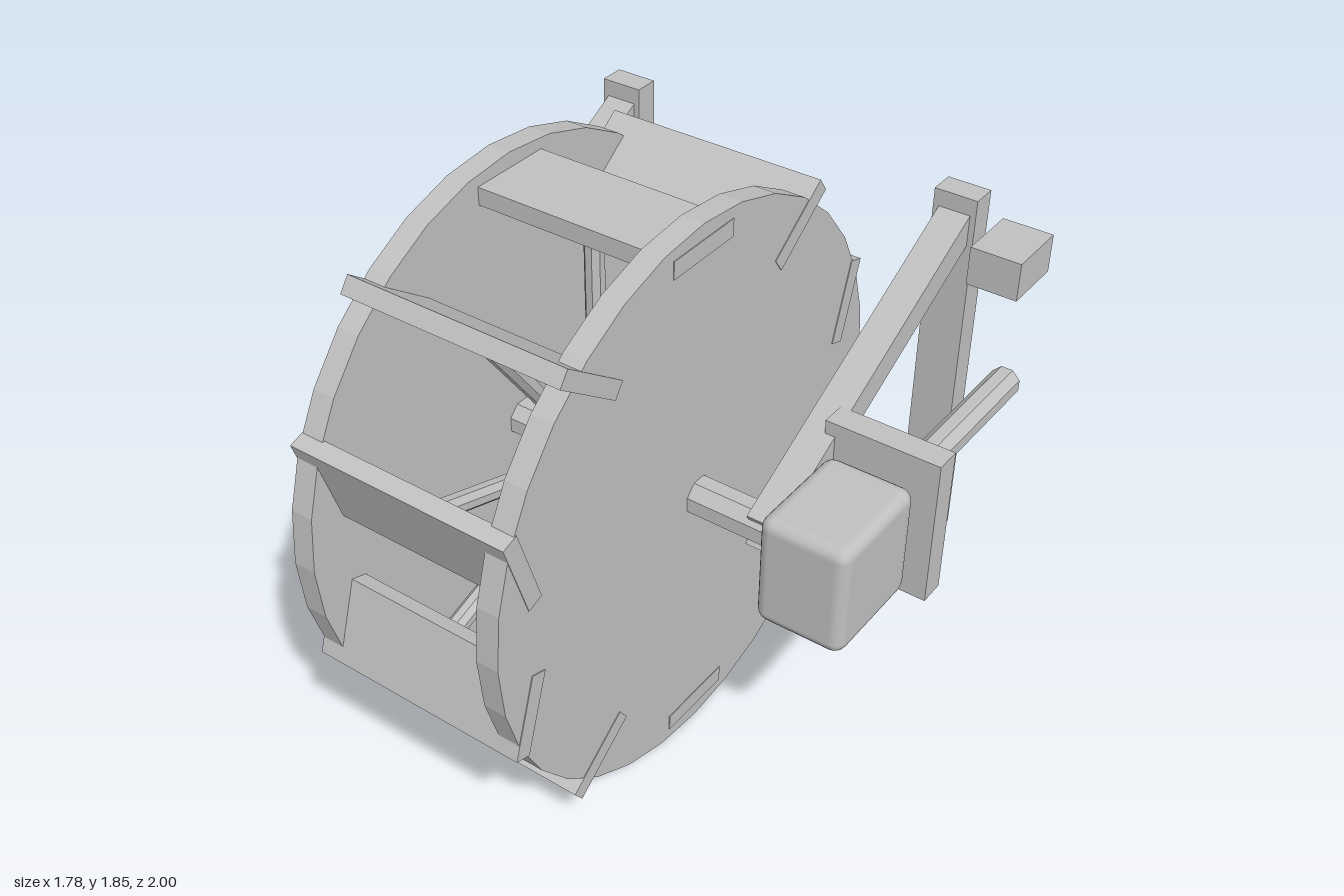
import * as THREE from 'three';
import { RoundedBoxGeometry } from 'three/addons/geometries/RoundedBoxGeometry.js';

export function createModel() {
  const model = new THREE.Group();
  model.name = 'waterWheel';
  const grey = new THREE.MeshStandardMaterial({ color: 0xc0c0c0 });
  grey.name = 'plain grey';

  const add = (name, geometry, x, y, z, parent = model) => {
    const mesh = new THREE.Mesh(geometry, grey);
    mesh.name = name;
    mesh.position.set(x, y, z);
    parent.add(mesh);
    return mesh;
  };
  const box = (name, w, h, d, x, y, z, parent) =>
    add(name, new THREE.BoxGeometry(w, h, d), x, y, z, parent);
  // Faceted rod along y, with flats facing the axes
  const rod = (radius, length, sides = 8, turn = Math.PI / sides) => {
    const g = new THREE.CylinderGeometry(radius, radius, length, sides).rotateY(turn).toNonIndexed();
    g.computeVertexNormals();
    return g;
  };

  const midX = -0.1375, axleY = 0.925, axleZ = 0.0775;

  // Wheel: two discs, spokes and paddles around the axle
  const wheel = new THREE.Group();
  wheel.name = 'wheel';
  wheel.position.set(midX, axleY, axleZ);
  model.add(wheel);

  for (const side of [-1, 1]) {
    add('wheelDisc', rod(0.9225, 0.075, 32, 0).rotateZ(Math.PI / 2), side * 0.335, 0, 0, wheel);
  }
  add('axle', rod(0.064, 1.515).rotateZ(Math.PI / 2), 0, 0, 0, wheel);

  for (let i = 0; i < 10; i++) {
    const a = Math.PI / 2 - (i * Math.PI) / 5;
    const c = Math.cos(a), s = Math.sin(a);
    const spoke = add('spoke', rod(0.031, 0.8), 0, 0.4 * s, 0.4 * c, wheel);
    spoke.rotation.x = Math.PI / 2 - a;
    const paddle = box('paddle', 0.75, 0.057, 0.28, 0, 0.845 * s, 0.845 * c, wheel);
    paddle.rotation.x = a - Math.PI / 2;
  }

  // Side supports: rear post and two diagonal braces meeting at the axle
  const tilt = THREE.MathUtils.degToRad(28);
  for (const side of [-1, 1]) {
    const x = midX + side * 0.631;
    box('post', 0.146, 1.3, 0.086, x, 0.93, -0.933);
    for (const up of [-1, 1]) {
      const brace = box('brace', 0.107, 0.093, 1.235, x, 0.928 + up * 0.301, -0.435);
      brace.rotation.x = up * tilt;
    }
  }

  // Drive: gearbox, backing plate, output shaft and small control box
  add('gearbox', new RoundedBoxGeometry(0.29, 0.377, 0.377, 2, 0.04), 0.701, 0.93, 0.076);
  box('backingPlate', 0.377, 0.5, 0.085, 0.701, 0.93, -0.2);
  add('outputShaft', rod(0.052, 0.735).rotateX(Math.PI / 2), 0.701, 0.932, -0.608);
  box('controlBox', 0.168, 0.128, 0.21, 0.701, 1.436, -0.872);

  return model;
}
